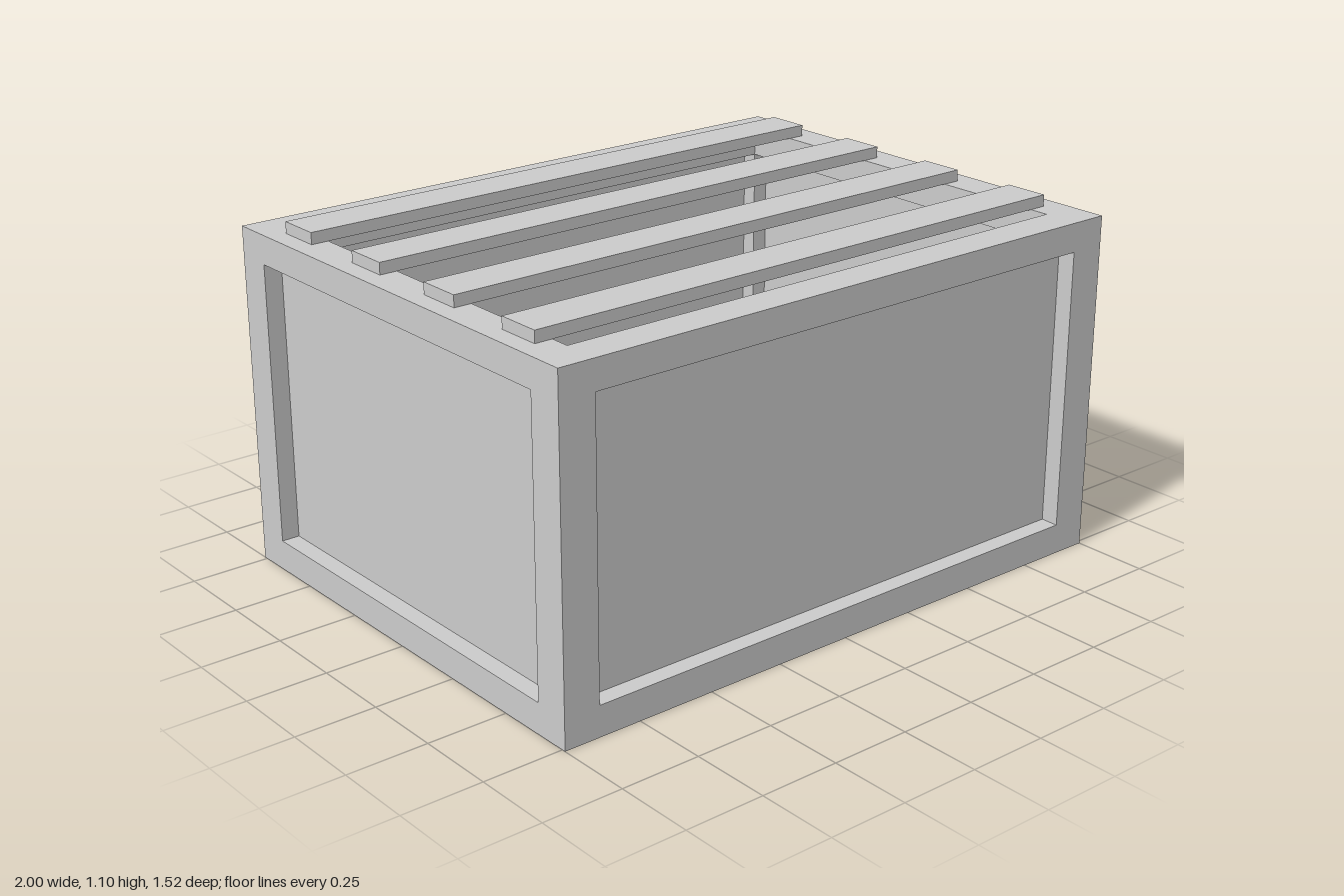
import * as THREE from 'three';

const W = 1, D = 0.762, H = 1.06;      // half width, half depth, frame height
const IX = 0.885, IZ = 0.648;          // half size of the inner opening
const LOW = 0.095, HIGH = 0.97;        // side openings, bottom and top

export function createModel() {
  const crate = new THREE.Group();
  crate.name = 'slattedCrate';
  const grey = new THREE.MeshStandardMaterial({ color: 0xcccccc });
  grey.name = 'plain grey';

  const add = (name, geometry, x, y, z) => {
    const mesh = new THREE.Mesh(geometry, grey);
    mesh.name = name;
    mesh.position.set(x, y, z);
    crate.add(mesh);
  };
  const box = (name, w, h, d, x, y, z) => add(name, new THREE.BoxGeometry(w, h, d), x, y, z);
  const rectangle = (target, x, z) => {
    target.moveTo(-x, -z).lineTo(x, -z).lineTo(x, z).lineTo(-x, z).closePath();
    return target;
  };

  // Horizontal rims at the bottom and top of the frame
  const rim = (name, y0, y1) => {
    const shape = rectangle(new THREE.Shape(), W, D);
    shape.holes.push(rectangle(new THREE.Path(), IX, IZ));
    const geometry = new THREE.ExtrudeGeometry(shape, { depth: y1 - y0, bevelEnabled: false });
    add(name, geometry.rotateX(-Math.PI / 2), 0, y0, 0);
  };
  rim('bottomRim', 0.005, LOW);
  rim('topRim', HIGH, H);

  // Floor sheet under the bottom rim
  box('floor', 2 * W, 0.005, 2 * D, 0, 0.0025, 0);

  // Corner posts
  for (const sx of [-1, 1]) for (const sz of [-1, 1]) {
    box('cornerPost', W - IX, HIGH - LOW, D - IZ,
      sx * (W + IX) / 2, (LOW + HIGH) / 2, sz * (D + IZ) / 2);
  }

  // Thin panels set midway into the frame
  const panelHeight = HIGH - LOW + 0.02, panelY = (LOW + HIGH) / 2;
  for (const s of [-1, 1]) {
    box(s > 0 ? 'frontPanel' : 'backPanel', 2 * IX + 0.02, panelHeight, 0.006, 0, panelY, s * 0.702);
    box(s > 0 ? 'leftPanel' : 'rightPanel', 0.006, panelHeight, 2 * IZ + 0.02, s * 0.94, panelY, 0);
  }

  // Slats laid across the open top
  for (let i = 0; i < 4; i++) {
    box('topSlat', 1.88, 0.036, 0.14, 0, H + 0.018, -0.545 + i * 0.354);
  }
  return crate;
}
